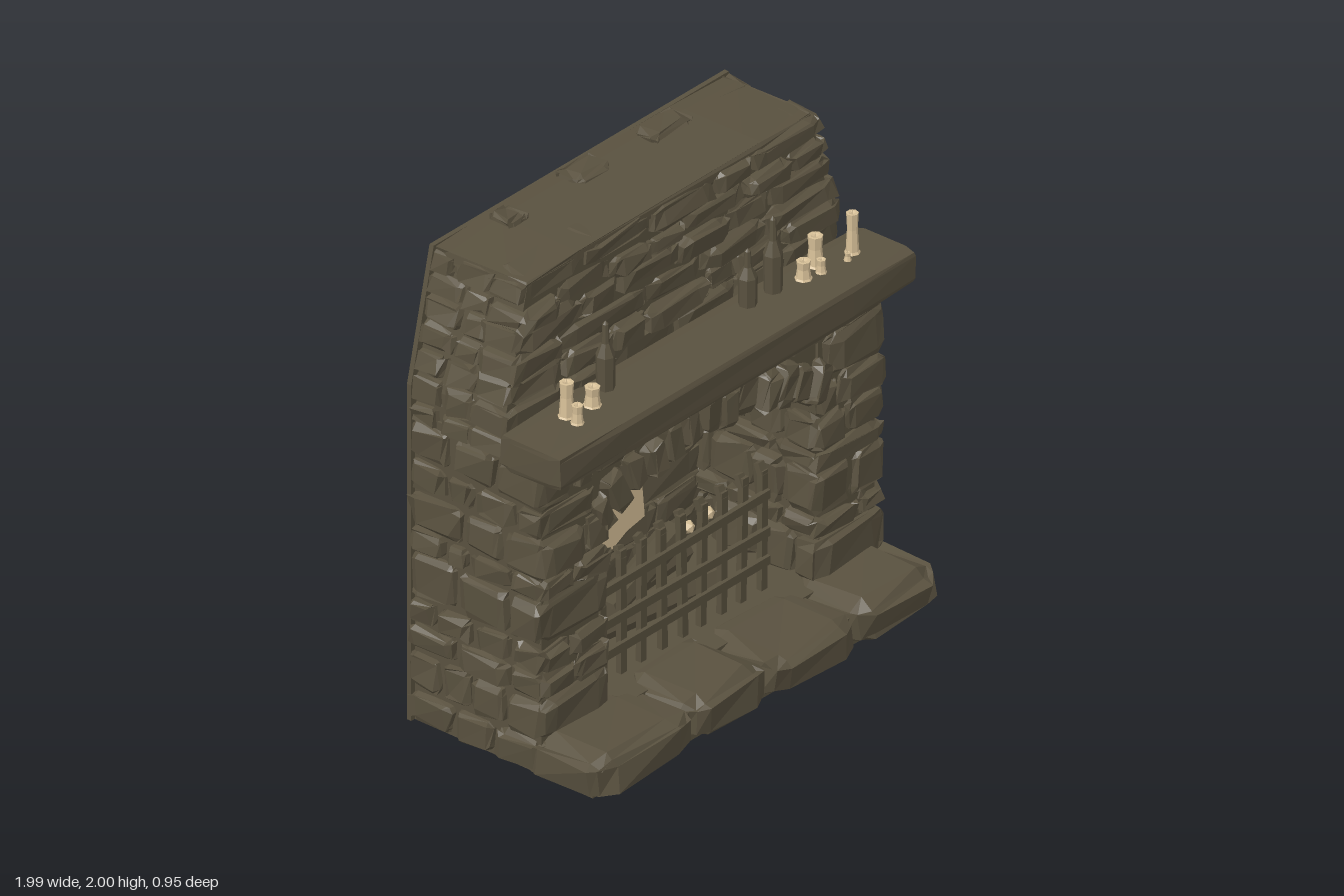
import * as THREE from 'three';

const BACK = -0.48;
const stoneMat = new THREE.MeshStandardMaterial({ color: 0x59513f, flatShading: true });
stoneMat.name = 'olive stone';
const waxMat = new THREE.MeshStandardMaterial({ color: 0xd6bf97, flatShading: true });
waxMat.name = 'pale wax and flame';

let seed = 1;
const rnd = () => {
  seed = (seed * 16807) % 2147483647;
  return seed / 2147483647;
};
const range = (a, b) => a + (b - a) * rnd();
const hash = (x, y, z, s) => {
  const v = Math.sin(x * 127.1 + y * 311.7 + z * 74.7 + s * 19.19) * 43758.5453;
  return (v - Math.floor(v)) * 2 - 1;
};

// Uneven cuts dividing a..b into n spans
function cuts(a, b, n, wobble = 0.25) {
  const list = [];
  for (let i = 0; i <= n; i++) {
    const off = i === 0 || i === n ? 0 : range(-wobble, wobble);
    list.push(a + ((b - a) * (i + off)) / n);
  }
  return list;
}

function add(parent, name, geo, mat, x = 0, y = 0, z = 0) {
  const mesh = new THREE.Mesh(geo, mat);
  mesh.name = name;
  mesh.position.set(x, y, z);
  parent.add(mesh);
  return mesh;
}

function group(parent, name) {
  const g = new THREE.Group();
  g.name = name;
  parent.add(g);
  return g;
}

// Rough block with worn edges; warp optionally reshapes each point
function stone(parent, name, x0, x1, y0, y1, z0, z1, { rough = 0.012, wear = 0.022, warp } = {}) {
  const size = [x1 - x0, y1 - y0, z1 - z0];
  const mid = [(x0 + x1) / 2, (y0 + y1) / 2, (z0 + z1) / 2];
  const geo = new THREE.BoxGeometry(1, 1, 1, 3, 3, 3);
  const pos = geo.attributes.position;
  const c = Math.min(wear, 0.22 * Math.min(...size));
  const s = Math.floor(range(1, 999));
  const p = new THREE.Vector3();
  for (let i = 0; i < pos.count; i++) {
    const u = [pos.getX(i), pos.getY(i), pos.getZ(i)].map((v) => Math.round(v * 6) / 3);
    const edge = u.filter((v) => Math.abs(v) > 0.9).length;
    const pull = edge === 3 ? c : edge === 2 ? c * 0.6 : 0;
    const q = u.map((v, k) => {
      const outer = Math.abs(v) > 0.9;
      const t = outer ? v : v * 1.9;
      return mid[k] + (t * size[k]) / 2 - (outer ? Math.sign(v) * pull : 0) + rough * hash(u[0], u[1], u[2], s + k * 37);
    });
    p.set(...q);
    if (warp) warp(p);
    pos.setXYZ(i, p.x, Math.max(p.y, 0), Math.max(p.z, BACK + 0.004));
  }
  geo.computeVertexNormals();
  return add(parent, name, geo, stoneMat);
}

function block(parent, name, x0, x1, y0, y1, z0, z1, mat = stoneMat) {
  return add(parent, name, new THREE.BoxGeometry(x1 - x0, y1 - y0, z1 - z0), mat,
    (x0 + x1) / 2, (y0 + y1) / 2, (z0 + z1) / 2);
}

// Half width of the chimney breast at height y
const halfWidth = (y) => 0.945 - 0.125 * Math.min(1, Math.max(0, (y - 1.42) / 0.53));

function buildPillar(parent, side) {
  const g = group(parent, side > 0 ? 'leftPillar' : 'rightPillar');
  const span = (a, b) => (side > 0 ? [a, b] : [-b, -a]);
  block(g, 'pillarCore', ...span(0.61, 0.925), 0, 1.3, BACK, 0.15);
  const ys = cuts(0, 1.28, 9);
  for (let i = 0; i < 9; i++) {
    const inner = ys[i] > 0.95 ? 0.64 : 0.565;
    const zs = cuts(BACK, 0.195, 3 + (i % 2));
    for (let k = 0; k < zs.length - 1; k++) {
      const front = k === zs.length - 2;
      const xs = front && i % 3 !== 1 ? cuts(inner, 0.96, 2, 0.35) : [inner, 0.96];
      for (let j = 0; j < xs.length - 1; j++) {
        stone(g, 'pillarStone', ...span(xs[j] + 0.003, xs[j + 1] - 0.003), ys[i] + 0.003, ys[i + 1] - 0.003,
          zs[k] + 0.002, zs[k + 1] - (front ? range(0, 0.025) : 0.002));
      }
    }
  }
}

function buildArch(parent) {
  const g = group(parent, 'arch');
  const R = 1.31, cy = -0.28;
  // Solid lintel with curved underside
  const s = new THREE.Shape();
  s.moveTo(-0.64, 1.3);
  for (let i = 0; i <= 12; i++) {
    const x = -0.64 + (1.28 * i) / 12;
    s.lineTo(x, cy + Math.sqrt((R + 0.015) ** 2 - x * x));
  }
  s.lineTo(0.64, 1.3);
  add(g, 'lintelCore', new THREE.ExtrudeGeometry(s, { depth: 0.6, bevelEnabled: false }), stoneMat, 0, 0, -0.46);
  // Radiating wedge stones
  const a = cuts(-0.48, 0.48, 13, 0.12);
  for (let i = 0; i < 13; i++) {
    const w = (a[i + 1] - a[i]) * R;
    const v = stone(g, 'archStone', -w / 2, w / 2, R + range(-0.012, 0.012), R + range(0.15, 0.19), -0.1, range(0.17, 0.2),
      { warp: (p) => { p.x *= 0.97 + (p.y - R) * 0.8; } });
    v.position.y = cy;
    v.rotation.z = -(a[i] + a[i + 1]) / 2;
  }
  // Small stones over the arch
  const xs = cuts(-0.64, 0.64, 6);
  for (let i = 0; i < 6; i++) {
    const low = i === 0 || i === 5 ? 1.14 : 1.19;
    stone(g, 'spandrelStone', xs[i], xs[i + 1], low, 1.28, 0, 0.17);
  }
}

function buildFirebox(parent) {
  const g = group(parent, 'firebox');
  block(g, 'fireboxFloor', -0.62, 0.62, 0, 0.14, BACK, 0.2);
  const ys = cuts(0.13, 0.84, 5);
  for (let i = 0; i < 5; i++) {
    const xs = cuts(-0.6, 0.6, 3 + (i % 2));
    for (let k = 0; k < xs.length - 1; k++) {
      stone(g, 'backStone', xs[k], xs[k + 1], ys[i], ys[i + 1], -0.46, -0.39);
    }
  }
  // Throat stones leaning forward under the arch
  const xs = cuts(-0.62, 0.62, 3);
  for (let k = 0; k < 3; k++) {
    stone(g, 'throatStone', xs[k], xs[k + 1], 0.81, 1.08, -0.46, -0.39,
      { warp: (p) => { p.z += (p.y - 0.81) * 0.9; } });
  }
}

function buildChimney(parent) {
  const g = group(parent, 'chimneyBreast');
  const widen = (p) => { p.x *= halfWidth(p.y); };
  // Flat back panel and inner core share one outline
  const outline = (inset, top) => new THREE.Shape([
    [-0.945 + inset, 0], [0.945 - inset, 0], [0.945 - inset, 1.42], [0.82 - inset, top], [-0.82 + inset, top], [-0.945 + inset, 1.42],
  ].map(([x, y]) => new THREE.Vector2(x, y)));
  add(g, 'backPanel', new THREE.ExtrudeGeometry(outline(0, 1.955), { depth: 0.02, bevelEnabled: false }), stoneMat, 0, 0, BACK);
  const core = new THREE.Shape([[-0.915, 1.25], [0.915, 1.25], [0.915, 1.42], [0.79, 1.94], [-0.79, 1.94], [-0.915, 1.42]]
    .map(([x, y]) => new THREE.Vector2(x, y)));
  add(g, 'chimneyCore', new THREE.ExtrudeGeometry(core, { depth: 0.43, bevelEnabled: false }), stoneMat, 0, 0, -0.465);
  const ys = cuts(1.27, 1.95, 7, 0.2);
  for (let i = 0; i < 7; i++) {
    const xs = cuts(-1, 1, 5 + (i % 3));
    const n = xs.length - 1;
    for (let k = 0; k < n; k++) {
      const lift = range(-0.015, 0.015);
      stone(g, 'chimneyStone', xs[k], xs[k + 1], ys[i] + lift, ys[i + 1] + (i === 6 ? 0 : lift), -0.2,
        range(-0.02, 0.015) - (i === 6 ? 0.01 : 0), { warp: widen });
    }
    // Stones along both flanks
    for (const side of [-1, 1]) {
      const zs = cuts(BACK, -0.17, 2);
      for (let k = 0; k < 2; k++) {
        const x = side > 0 ? [0.72, 1] : [-1, -0.72];
        stone(g, 'flankStone', ...x, ys[i], ys[i + 1], zs[k], zs[k + 1], { warp: widen });
      }
    }
  }
  // Cap with a few raised stones
  stone(g, 'capSlab', -0.81, 0.8, 1.9, 1.962, BACK, -0.03, { rough: 0.008 });
  for (const [x, w, z] of [[-0.51, 0.1, -0.37], [-0.07, 0.19, -0.39], [0.35, 0.22, -0.37]]) {
    stone(g, 'capStone', x - w / 2, x + w / 2, 1.92, 1.985, z - 0.06, z + 0.06);
  }
}

function buildHearth(parent) {
  const g = group(parent, 'hearth');
  block(g, 'hearthCore', -0.93, 0.93, 0, 0.12, 0.1, 0.4);
  const xs = [-0.96, -0.41, 0.01, 0.49, 0.95];
  for (let i = 0; i < 4; i++) {
    stone(g, 'hearthStone', xs[i], xs[i + 1], 0, range(0.145, 0.17), 0.08, range(0.45, 0.475), { wear: 0.04, rough: 0.014 });
  }
}

function buildGrate(parent) {
  const g = group(parent, 'fireGrate');
  for (let i = 0; i < 9; i++) {
    const x = -0.47 + i * 0.112;
    const bar = block(g, 'uprightBar', x - 0.016, x + 0.016, 0.14, 0.64 + range(0, 0.02), 0.03, 0.055);
    bar.rotation.z = range(-0.03, 0.03);
    const tip = block(g, 'barTip', x - 0.016, x + 0.016, 0.62, 0.67, 0.022, 0.047);
    tip.rotation.set(-0.4, 0, range(-0.2, 0.2));
  }
  for (const y of [0.265, 0.39, 0.54]) {
    block(g, 'crossBar', -0.5, 0.44, y - 0.018, y + 0.018, 0.05, 0.07).rotation.z = range(-0.012, 0.012);
  }
}

function buildFire(parent) {
  const g = group(parent, 'fire');
  // Stacked logs
  for (const [x, y, z, len, turn] of [[0, 0.2, -0.27, 0.75, 0.1], [-0.05, 0.2, -0.13, 0.7, -0.12], [0.02, 0.29, -0.2, 0.6, 0.3]]) {
    const log = add(g, 'log', new THREE.CylinderGeometry(0.05, 0.06, len, 7), stoneMat, x, y, z);
    log.rotation.set(0, turn, Math.PI / 2);
  }
  const flame = new THREE.Shape([
    [-0.24, 0.34], [-0.19, 0.47], [-0.15, 0.45], [-0.14, 0.6], [-0.07, 0.64], [-0.03, 0.6], [-0.03, 0.72], [0.01, 0.745],
    [0.045, 0.71], [0.05, 0.62], [0.1, 0.68], [0.13, 0.6], [0.165, 0.57], [0.18, 0.42], [0.08, 0.4], [0, 0.36],
  ].map(([x, y]) => new THREE.Vector2(x, y)));
  add(g, 'flame', new THREE.ExtrudeGeometry(flame, { depth: 0.06, bevelEnabled: false }), waxMat, 0, 0, -0.37);
  for (const [x, y] of [[0.35, 0.32], [0.46, 0.33]]) {
    add(g, 'ember', new THREE.IcosahedronGeometry(0.028, 0), waxMat, x, y, -0.25);
  }
}

function lathe(parent, name, points, sides, mat, x, y, z) {
  return add(parent, name, new THREE.LatheGeometry(points.map(([r, h]) => new THREE.Vector2(r, h)), sides), mat, x, y, z);
}

function buildMantel(parent) {
  const g = group(parent, 'mantel');
  stone(g, 'mantelBeam', -0.995, 0.995, 1.27, 1.422, 0, 0.3, { rough: 0.004, wear: 0.012 });
  // Bottles
  for (const [x, z, h] of [[-0.495, 0.085, 0.29], [0.295, 0.085, 0.24], [0.43, 0.09, 0.32]]) {
    lathe(g, 'bottle', [[0, 0], [0.036, 0], [0.038, h * 0.5], [0.016, h * 0.68], [0.012, h * 0.95], [0, h]], 7, stoneMat, x, 1.415, z);
  }
  // Candles with melted tops and wicks
  for (const [x, z, h, r] of [[-0.74, 0.11, 0.15, 0.028], [-0.75, 0.17, 0.08, 0.022], [-0.62, 0.13, 0.085, 0.03],
    [0.565, 0.12, 0.08, 0.028], [0.665, 0.09, 0.13, 0.03], [0.64, 0.14, 0.06, 0.018], [0.825, 0.13, 0.17, 0.024], [0.77, 0.155, 0.035, 0.012]]) {
    lathe(g, 'candle', [[0, 0], [r * 1.35, 0], [r * 1.05, 0.012], [r * 0.85, h * 0.6], [r, h], [r * 0.6, h], [0, h - 0.008]], 7, waxMat, x, 1.415, z);
    add(g, 'wick', new THREE.ConeGeometry(0.005, 0.025, 4), waxMat, x, 1.415 + h + 0.005, z);
  }
}

export function createModel() {
  seed = 4711;
  const model = new THREE.Group();
  model.name = 'stoneFireplace';
  buildChimney(model);
  for (const side of [-1, 1]) buildPillar(model, side);
  buildArch(model);
  buildFirebox(model);
  buildHearth(model);
  buildMantel(model);
  buildGrate(model);
  buildFire(model);
  return model;
}
